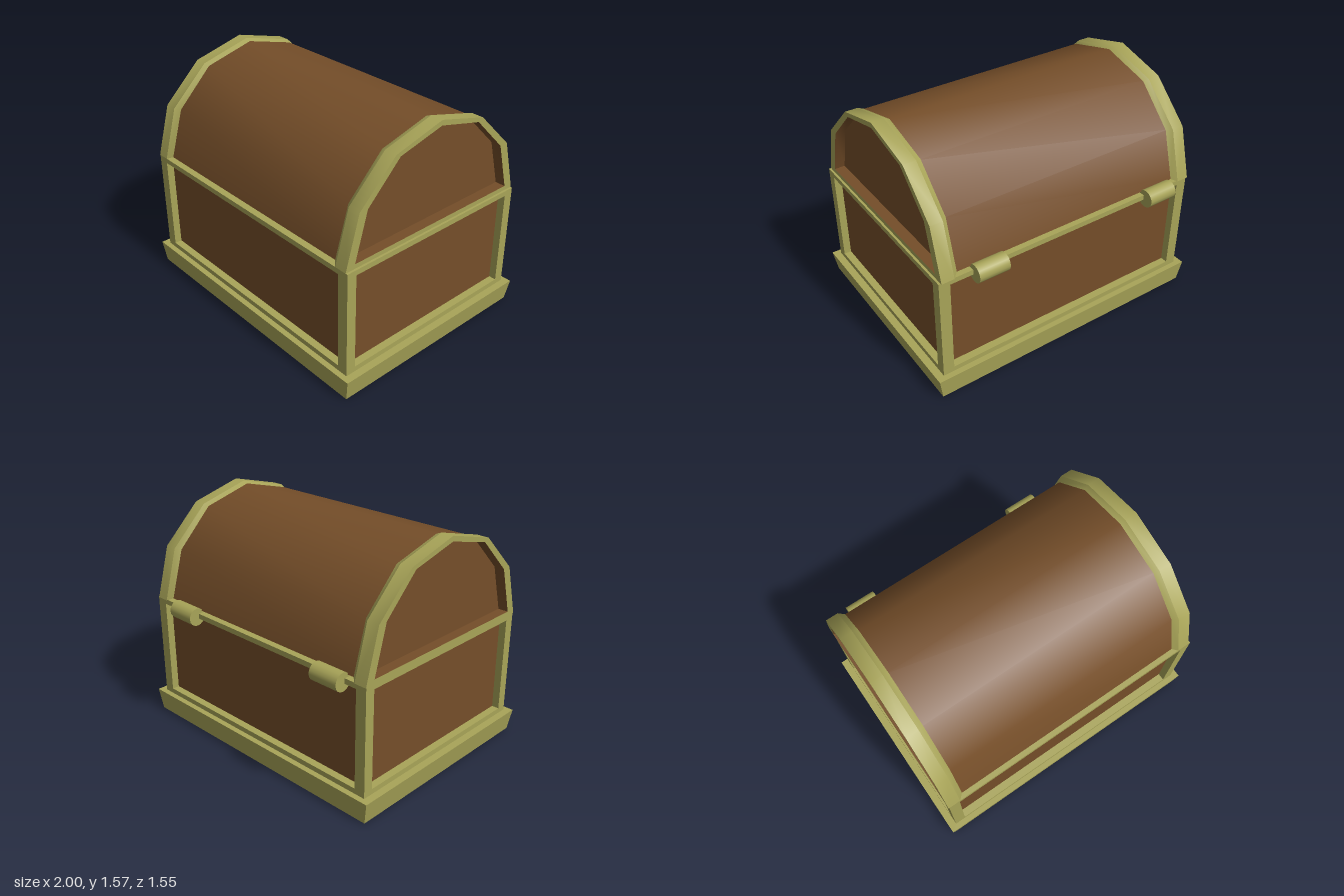
import * as THREE from 'three';

const gold = new THREE.MeshStandardMaterial({ color: 0xa8a458 });
const brown = new THREE.MeshStandardMaterial({ color: 0x754e29 });
const CZ = 0.0165; // depth centre of the chest

function add(parent, name, geometry, material, x = 0, y = 0, z = 0) {
  const mesh = new THREE.Mesh(geometry, material);
  mesh.name = name;
  mesh.position.set(x, y, z);
  parent.add(mesh);
  return mesh;
}

// Half an arch as [z, y] pairs, mirrored to a full front-to-back arch
function arch(half) {
  return [...half, ...half.slice(0, -1).reverse().map(([z, y]) => [-z, y])];
}
const outer = arch([[0.722, 0.87], [0.625, 1.215], [0.36, 1.47], [0, 1.565]]);
const shell = arch([[0.69, 0.885], [0.595, 1.21], [0.348, 1.458], [0, 1.55]]);
const inner = arch([[0.652, 0.9], [0.563, 1.215], [0.325, 1.45], [0, 1.53]]);
const middle = inner.map(() => [0, 1.1]);

// Skins a row of sections [arch, x]; each strip keeps its own crisp edges
function loft(sections, side = 1) {
  const pos = [], index = [];
  const strip = (a, xa, b, xb) => {
    const start = pos.length / 3;
    a.forEach(([z, y], i) => pos.push(side * xa, y, z, side * xb, b[i][1], b[i][0]));
    for (let i = 0; i < a.length - 1; i++) {
      const p = start + i * 2;
      if (side > 0) index.push(p, p + 1, p + 2, p + 1, p + 3, p + 2);
      else index.push(p, p + 2, p + 1, p + 1, p + 2, p + 3);
    }
  };
  for (let i = 0; i < sections.length - 1; i++) {
    const [a, xa] = sections[i], [b, xb] = sections[i + 1];
    strip(a, xa, b, xb);
    strip([a.at(-1), a[0]], xa, [b.at(-1), b[0]], xb); // flat underside
  }
  const g = new THREE.BufferGeometry();
  g.setAttribute('position', new THREE.Float32BufferAttribute(pos, 3));
  g.setIndex(index);
  g.computeVertexNormals();
  return g;
}

function makeBase() {
  const geo = new THREE.BoxGeometry(2, 0.147, 1.51).toNonIndexed();
  const p = geo.attributes.position;
  for (let i = 0; i < p.count; i++) {
    if (p.getY(i) < 0) { // sides lean inwards to the foot
      p.setX(i, p.getX(i) * 0.975);
      p.setZ(i, p.getZ(i) * 0.98);
    }
  }
  geo.computeVertexNormals();
  return geo;
}

function makeBody() {
  const body = new THREE.Group();
  body.name = 'body';
  const W = 0.95, D = 0.7175, recess = 0.05, y0 = 0.147, y1 = 0.87;
  const postX = 0.075, postZ = 0.067, rail = 0.035;
  add(body, 'panels', new THREE.BoxGeometry(2 * (W - recess), 0.71, 2 * (D - recess)), brown, 0, 0.5, 0);
  for (const s of [-1, 1]) {
    for (const t of [-1, 1]) {
      add(body, 'cornerPost', new THREE.BoxGeometry(postX, y1 - y0, postZ), gold,
        s * (W - postX / 2), (y0 + y1) / 2, t * (D - postZ / 2));
    }
    for (const y of [y0 + rail / 2, y1 - rail / 2]) {
      add(body, 'longRail', new THREE.BoxGeometry(2 * (W - postX), rail, postZ), gold, 0, y, s * (D - postZ / 2));
      add(body, 'sideRail', new THREE.BoxGeometry(postX, rail, 2 * (D - postZ)), gold, s * (W - postX / 2), y, 0);
    }
  }
  return body;
}

function makeLid() {
  const lid = new THREE.Group();
  lid.name = 'lid';
  add(lid, 'lidShell', loft([[shell, -0.84], [shell, 0.84]]), brown);
  for (const s of [-1, 1]) {
    // bevelled end band, then the recessed end panel within it
    add(lid, 'lidBand', loft([[shell, 0.825], [outer, 0.86], [outer, 0.945], [inner, 0.945]], s), gold);
    add(lid, 'lidEndPanel', loft([[inner, 0.945], [inner, 0.875], [middle, 0.875]], s), brown);
  }
  return lid;
}

export function createModel() {
  const chest = new THREE.Group();
  chest.name = 'chest';
  add(chest, 'base', makeBase(), gold, 0, 0.0735, CZ);
  const body = makeBody();
  body.position.z = CZ;
  chest.add(body);
  const lid = makeLid();
  lid.position.set(-0.01, 0, 0.0125);
  chest.add(lid);

  // Hinge barrels along the back edge
  for (const x of [-0.685, 0.615]) {
    const hinge = new THREE.CylinderGeometry(0.06, 0.06, 0.21, 16).rotateZ(Math.PI / 2);
    add(chest, 'hinge', hinge, gold, x, 0.85, -0.715);
  }
  return chest;
}
